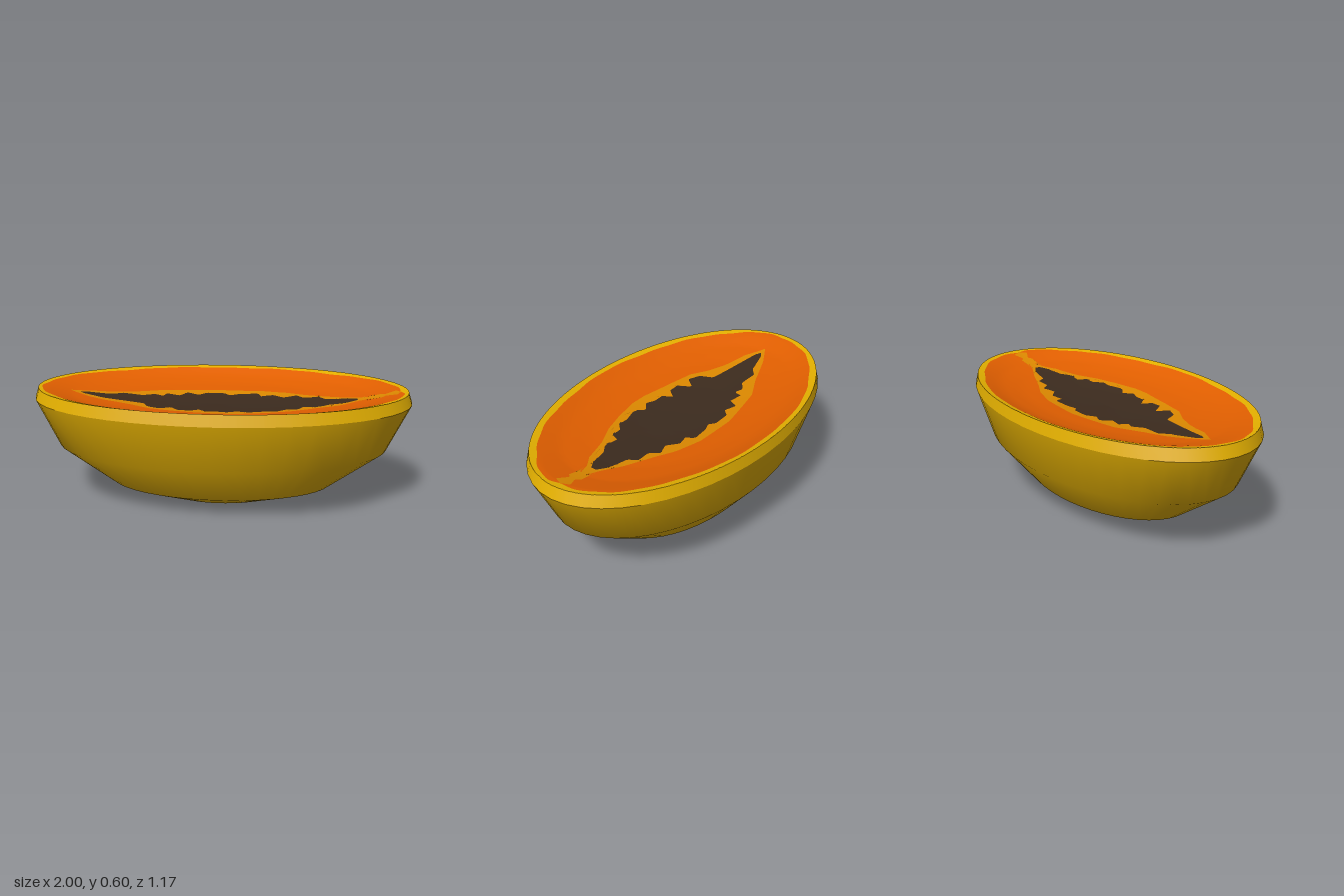
import * as THREE from 'three';

const mat = (name, color) => Object.assign(new THREE.MeshStandardMaterial({ color }), { name });
const skin = mat('yellow skin', 0xe4b000);
const darkSkin = mat('dark yellow skin', 0xc09400);
const flesh = mat('orange flesh', 0xe25f00);
const innerFlesh = mat('amber flesh', 0xdd8900);
const seedDark = mat('dark seeds', 0x3c2b1e);

const SQUASH = 0.583; // depth of the oval relative to its length
const AROUND = 360;

// Piecewise-linear lookup in a list of [key, value] points
function lookup(points, k) {
  if (k <= points[0][0]) return points[0][1];
  for (let i = 1; i < points.length; i++) {
    const [k0, v0] = points[i - 1], [k1, v1] = points[i];
    if (k <= k1) return v0 + (v1 - v0) * (k - k0) / (k1 - k0);
  }
  return points[points.length - 1][1];
}

// Hollowed cut face: depth below the rim against distance from the centre
const hollow = [[0, 0.095], [0.3, 0.088], [0.63, 0.064], [0.8, 0.04], [0.93, 0.008], [0.98, 0]];
const cutHeight = (x, z) => 0.6 - lookup(hollow, Math.hypot(x, z / SQUASH));

// Half-widths of the seed cavity, at the back and at the front
const seedBack = [[-0.77, 0], [-0.74, 0.02], [-0.6, 0.05], [-0.55, 0.09], [-0.44, 0.08], [-0.38, 0.12],
  [-0.33, 0.1], [-0.32, 0.15], [-0.24, 0.13], [-0.21, 0.19], [-0.14, 0.16], [-0.1, 0.2], [0, 0.2],
  [0.03, 0.17], [0.08, 0.19], [0.19, 0.2], [0.2, 0.15], [0.27, 0.17], [0.33, 0.12], [0.4, 0.15],
  [0.44, 0.1], [0.52, 0.11], [0.55, 0.06], [0.65, 0.05], [0.72, 0.015]];
const seedFront = [[-0.77, 0], [-0.74, 0.02], [-0.62, 0.05], [-0.5, 0.07], [-0.4, 0.09], [-0.37, 0.16],
  [-0.3, 0.19], [-0.25, 0.13], [-0.21, 0.2], [-0.14, 0.2], [-0.1, 0.15], [-0.07, 0.2], [0, 0.2],
  [0.05, 0.22], [0.1, 0.18], [0.15, 0.22], [0.25, 0.19], [0.3, 0.2], [0.35, 0.15], [0.41, 0.16],
  [0.43, 0.1], [0.5, 0.12], [0.57, 0.07], [0.65, 0.06], [0.72, 0.015]];
// Half-widths of the amber flesh, whose thin tail flares at the +x rim
const tail = [[0.8, 0.014], [0.87, 0.02], [0.92, 0.043], [0.94, 0]];
const amberBack = [[-0.82, 0], [-0.7, 0.06], [-0.5, 0.13], [-0.35, 0.2], [-0.05, 0.25], [0.2, 0.24],
  [0.35, 0.2], [0.45, 0.15], [0.6, 0.09], [0.72, 0.035], ...tail];
const amberFront = [[-0.82, 0], [-0.7, 0.07], [-0.55, 0.11], [-0.45, 0.15], [-0.35, 0.21], [-0.2, 0.24],
  [0, 0.27], [0.1, 0.27], [0.25, 0.24], [0.38, 0.2], [0.5, 0.14], [0.65, 0.09], [0.72, 0.04], ...tail];

// Outlines on the cut face, each a function of the angle t giving [x, z]
const lens = (x0, x1, back, front) => t => {
  const x = (x0 + x1) / 2 + (x1 - x0) / 2 * Math.cos(t);
  return [x, t > Math.PI ? -lookup(back, x) : lookup(front, x)];
};
const seedEdge = lens(-0.77, 0.72, seedBack, seedFront);
const seedAxis = t => [seedEdge(t)[0], 0];
const amberEdge = lens(-0.82, 0.94, amberBack, amberFront);
const fleshEdge = t => {
  const near = Math.min(t, 2 * Math.PI - t); // shallow notch where the tail meets the rim
  const w = 0.995 + 0.007 * Math.cos(4 * t) + 0.005 * Math.sin(9 * t) + 0.003 * Math.sin(23 * t);
  return [0.955 * w * Math.cos(t) - 0.015 * Math.exp(-((near / 0.08) ** 2)), 0.54 * w * Math.sin(t)];
};
const rimEdge = t => [0.98 * Math.cos(t), 0.98 * SQUASH * Math.sin(t)];

// Band of the cut face between two outlines
function cutBand(name, inner, outer, steps, material) {
  const pos = [], index = [];
  for (let i = 0; i < AROUND; i++) {
    const t = i / AROUND * Math.PI * 2;
    const [x0, z0] = inner(t), [x1, z1] = outer(t);
    for (let j = 0; j <= steps; j++) {
      const x = x0 + (x1 - x0) * j / steps, z = z0 + (z1 - z0) * j / steps;
      pos.push(x, cutHeight(x, z), z);
      if (j === steps) continue;
      const a = i * (steps + 1) + j, b = ((i + 1) % AROUND) * (steps + 1) + j;
      index.push(a, b, a + 1, b, b + 1, a + 1);
    }
  }
  const g = new THREE.BufferGeometry();
  g.setAttribute('position', new THREE.Float32BufferAttribute(pos, 3));
  g.setIndex(index);
  g.computeVertexNormals();
  return named(name, g, material);
}

function named(name, geometry, material) {
  const mesh = new THREE.Mesh(geometry, material);
  mesh.name = name;
  return mesh;
}

// Oval turned wall from [radius, height] points
function wall(name, profile, material, segments = 48, start = 0, sweep = Math.PI * 2, grow = 1) {
  const pts = profile.map(([r, y]) => new THREE.Vector2(r, y));
  const g = new THREE.LatheGeometry(pts, segments, start, sweep);
  g.scale(grow, 1, SQUASH * grow);
  return named(name, g, material);
}

export function createModel() {
  const fruit = new THREE.Group();
  fruit.name = 'halvedFruit';

  // Outer skin
  fruit.add(wall('skin', [[0.6, 0.088], [0.88, 0.29], [1, 0.54]], skin));
  fruit.add(wall('lip', [[1, 0.54], [0.98, 0.6]], skin));
  fruit.add(wall('lowerSkin', [[0.28, 0], [0.6, 0.088]], skin));

  // Dark patch at the +x end, two wall segments wide
  const seg = Math.PI / 24;
  fruit.add(wall('skinPatch', [[0.6, 0.088], [0.88, 0.29]], darkSkin, 2, Math.PI / 2 - seg, 2 * seg, 1.003));

  // Flat underside
  const base = new THREE.CircleGeometry(0.28, 48).rotateX(Math.PI / 2).scale(1, 1, SQUASH);
  fruit.add(named('underside', base, seedDark));

  // Hollowed cut face, from the middle outwards
  fruit.add(cutBand('seedCavity', seedAxis, seedEdge, 4, seedDark));
  fruit.add(cutBand('innerFlesh', seedEdge, amberEdge, 3, innerFlesh));
  fruit.add(cutBand('flesh', amberEdge, fleshEdge, 8, flesh));
  fruit.add(cutBand('rim', fleshEdge, rimEdge, 2, skin));
  return fruit;
}
